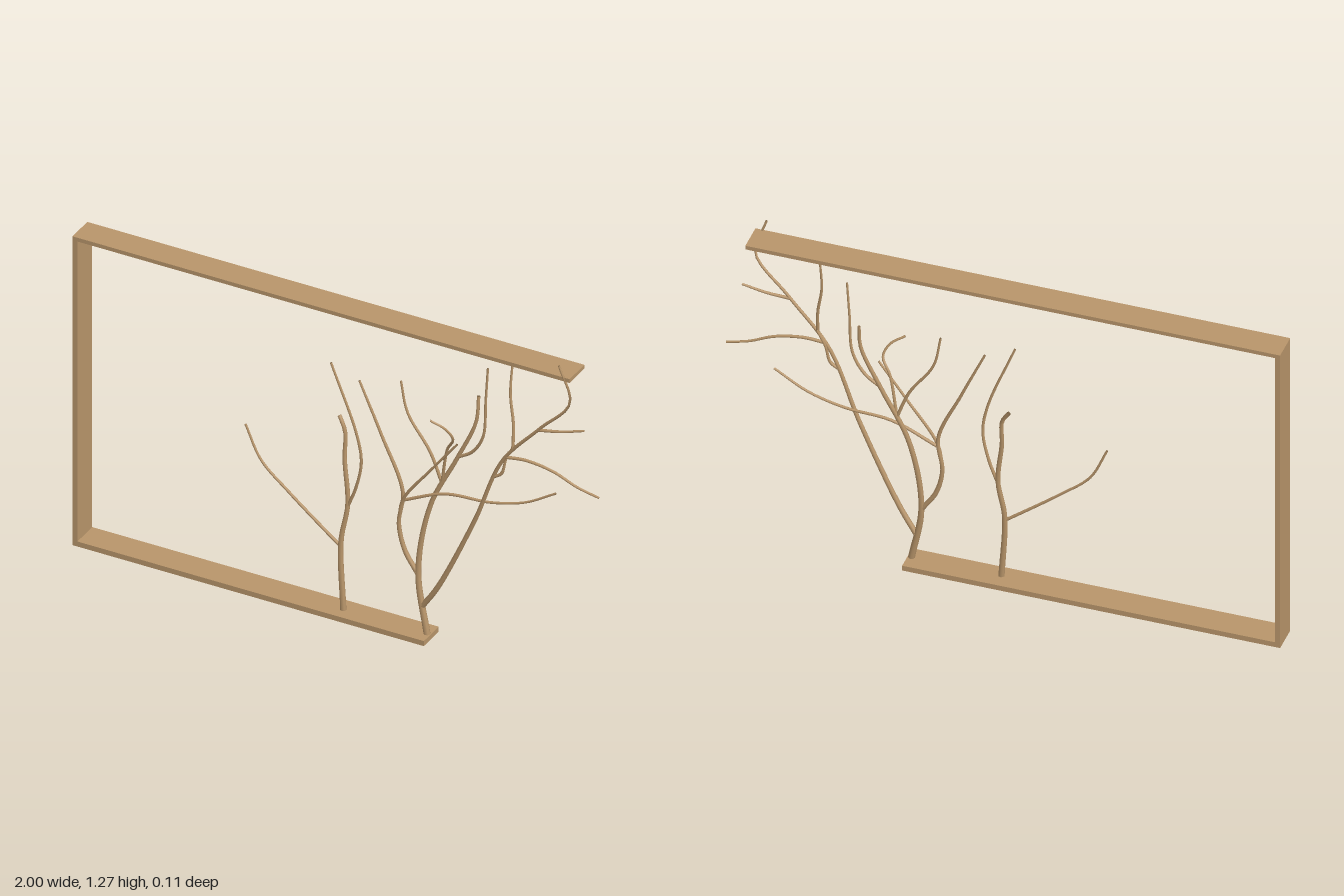
import * as THREE from 'three';

const SIDES = 8;
const wood = new THREE.MeshStandardMaterial({ color: 0xb8956a });
wood.name = 'wood';

// Point on a branch curve at height y
function pointAtHeight(curve, y) {
  return curve.getPoints(200).reduce((a, b) => (Math.abs(b.y - y) < Math.abs(a.y - y) ? b : a));
}

// Round branch from a start point through [x, y] pairs, drifting evenly in z
// and thinning towards a closed tip; returns its curve so twigs can join it
function grow(tree, name, start, tipZ, r0, r1, path) {
  const points = path.map(([x, y], i) =>
    new THREE.Vector3(x, y, THREE.MathUtils.lerp(start.z, tipZ, (i + 1) / path.length)));
  const curve = new THREE.CatmullRomCurve3([start, ...points]);
  const rings = path.length * 7;
  const geometry = new THREE.TubeGeometry(curve, rings, 1, SIDES, false);
  const pos = geometry.attributes.position;
  const p = new THREE.Vector3();
  for (let i = 0; i <= rings; i++) {
    const from = curve.getPointAt(i / rings);
    const u = Math.min(1, i / (rings - 1));
    const to = curve.getPointAt(u);
    // the last ring folds into a flat cap
    const r = i === rings ? 0 : THREE.MathUtils.lerp(r0, r1, u);
    for (let j = 0; j <= SIDES; j++) {
      const k = i * (SIDES + 1) + j;
      p.fromBufferAttribute(pos, k).sub(from).multiplyScalar(r).add(to);
      pos.setXYZ(k, p.x, p.y, p.z);
    }
  }
  const mesh = new THREE.Mesh(geometry, wood);
  mesh.name = name;
  tree.add(mesh);
  return curve;
}

// Thin twig leaving a parent branch at height y
function twig(tree, name, parent, y, tipZ, path) {
  return grow(tree, name, pointAtHeight(parent, y), tipZ, 0.006, 0.004, path);
}

function board(name, x0, x1, y0, y1) {
  const mesh = new THREE.Mesh(new THREE.BoxGeometry(x1 - x0, y1 - y0, 0.105), wood);
  mesh.position.set((x0 + x1) / 2, (y0 + y1) / 2, 0);
  mesh.name = name;
  return mesh;
}

function createSmallTree() {
  const tree = new THREE.Group();
  tree.name = 'smallTree';
  const trunk = grow(tree, 'trunk', new THREE.Vector3(0.015, 0.015, 0.005), -0.05, 0.011, 0.007,
    [[0, 0.28], [0.02, 0.43], [0.002, 0.6], [-0.002, 0.7], [-0.03, 0.75]]);
  twig(tree, 'rightBranch', trunk, 0.42, 0, [[0.055, 0.51], [0.077, 0.62], [0.06, 0.73], [-0.035, 0.985]]);
  twig(tree, 'leftBranch', trunk, 0.265, -0.003, [[-0.03, 0.285], [-0.2, 0.42], [-0.305, 0.515], [-0.365, 0.64]]);
  return tree;
}

function createLargeTree() {
  const tree = new THREE.Group();
  tree.name = 'largeTree';
  const trunk = grow(tree, 'trunk', new THREE.Vector3(0.337, 0.015, 0.005), -0.05, 0.012, 0.006,
    [[0.297, 0.25], [0.338, 0.52], [0.435, 0.73], [0.502, 0.89], [0.505, 0.985]]);

  // Long outer limb and its twigs
  const limb = grow(tree, 'outerLimb', pointAtHeight(trunk, 0.12), 0.053, 0.01, 0.004,
    [[0.38, 0.22], [0.525, 0.53], [0.638, 0.81], [0.785, 0.985], [0.907, 1.13], [0.87, 1.27]]);
  twig(tree, 'outerTwig', limb, 0.978, 0.015, [[0.86, 0.99], [0.945, 1.013]]);
  twig(tree, 'lowTwig', limb, 0.828, 0.01, [[0.73, 0.835], [0.83, 0.818], [0.92, 0.78], [1, 0.76]]);
  twig(tree, 'upperTwig', limb, 0.87, -0.007, [[0.675, 0.96], [0.657, 1.07], [0.66, 1.2]]);
  twig(tree, 'sideSpur', limb, 0.735, 0.02, [[0.632, 0.755], [0.65, 0.82], [0.68, 0.88]]);

  // Twigs on the upper trunk
  twig(tree, 'tallTwig', trunk, 0.735, -0.014, [[0.495, 0.775], [0.538, 0.85], [0.55, 1], [0.56, 1.13]]);
  twig(tree, 'curledTwig', trunk, 0.62, 0.053, [[0.41, 0.77], [0.442, 0.83], [0.422, 0.875], [0.375, 0.905]]);
  twig(tree, 'innerTwig', trunk, 0.62, -0.016, [[0.335, 0.73], [0.25, 0.86], [0.225, 0.98]]);

  // Left branch and its twigs
  const left = grow(tree, 'leftBranch', pointAtHeight(trunk, 0.24), -0.008, 0.009, 0.004,
    [[0.245, 0.32], [0.222, 0.42], [0.237, 0.55], [0.155, 0.75], [0.07, 0.94]]);
  twig(tree, 'crossingTwig', left, 0.43, 0.01, [[0.24, 0.52], [0.355, 0.68], [0.455, 0.81]]);
  twig(tree, 'longTwig', left, 0.515, -0.015, [[0.4, 0.587], [0.57, 0.603], [0.7, 0.64], [0.82, 0.71]]);
  return tree;
}

export function createModel() {
  const model = new THREE.Group();
  model.name = 'treeShelfFrame';
  model.add(
    // Open frame of three boards
    board('bottomBoard', -1, 0.35, 0, 0.02),
    board('topBoard', -1, 0.91, 1.214, 1.229),
    board('sideBoard', -1, -0.981, 0.02, 1.214),
    createSmallTree(),
    createLargeTree(),
  );
  return model;
}
